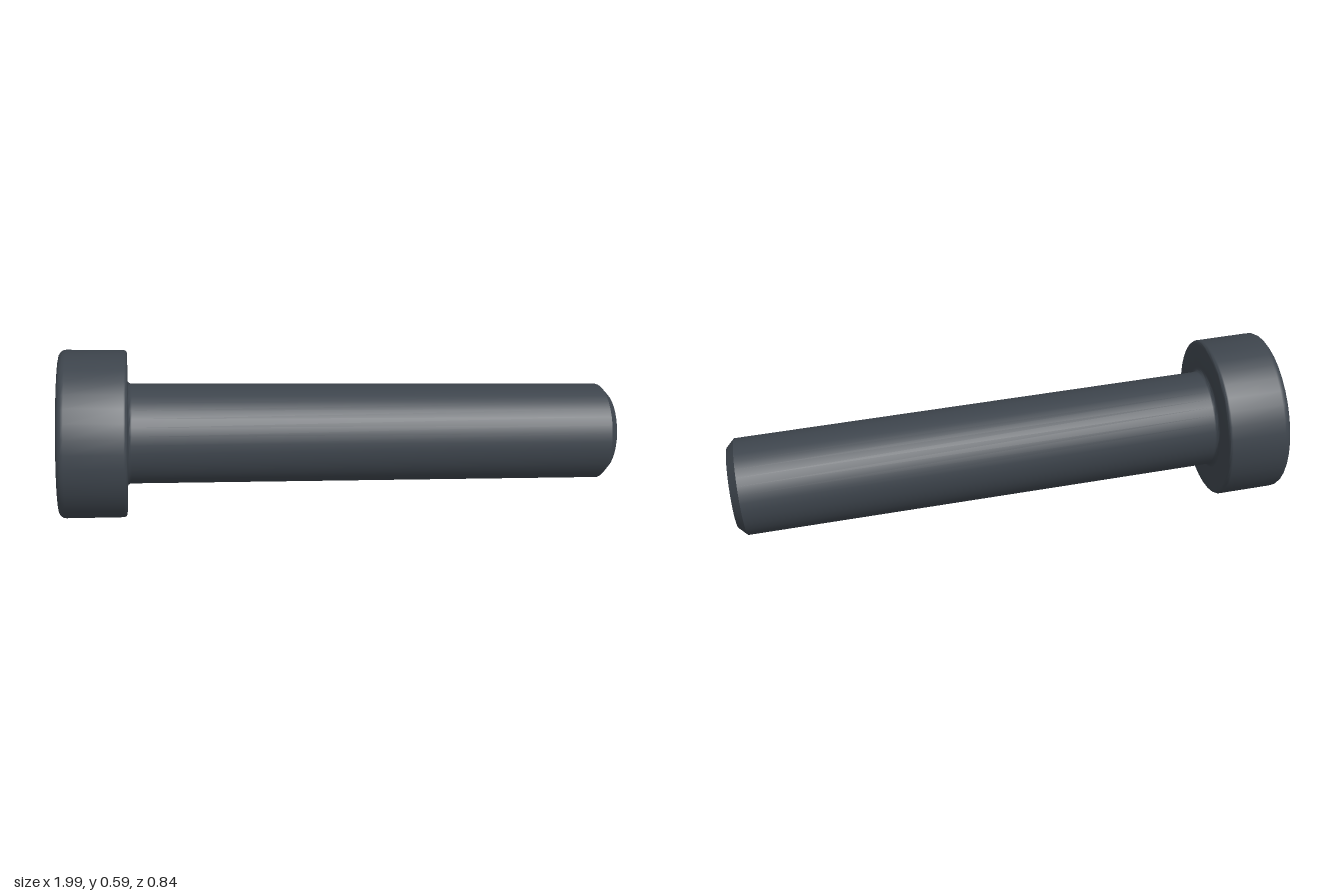
import * as THREE from 'three';
import { toCreasedNormals } from 'three/addons/utils/BufferGeometryUtils.js';

const SEGMENTS = 36; // divisible by six so the hex socket meets the head face
const HEX_TURN = THREE.MathUtils.degToRad(19);
const LENGTH = 1.724, SHAFT_R = 0.172, HEAD_R = 0.287, HEAD_H = 0.229;
const SOCKET_R = 0.129, SOCKET_DEPTH = 0.13;

// Points of a quarter fillet from angle a to angle b around (cx, cy)
function arc(cx, cy, r, a, b, steps = 4) {
  return Array.from({ length: steps + 1 }, (_, i) => {
    const t = a + ((b - a) * i) / steps;
    return new THREE.Vector2(cx + r * Math.cos(t), cy + r * Math.sin(t));
  });
}

function turned(points) {
  const lathe = new THREE.LatheGeometry(points, SEGMENTS, Math.PI - HEX_TURN);
  return toCreasedNormals(lathe, THREE.MathUtils.degToRad(32));
}

// Countersunk hex recess lofted from the round mouth to the flat floor
function socketGeometry() {
  const flat = SOCKET_R * Math.cos(Math.PI / 6);
  const sector = Math.PI / 3;
  const hexR = (t) => flat / Math.cos((t % sector) - sector / 2);
  const rings = [
    () => [SOCKET_R, HEAD_H],
    (t) => [hexR(t), HEAD_H - (SOCKET_R - hexR(t)) * 0.6],
    (t) => [hexR(t), HEAD_H - SOCKET_DEPTH],
    () => [0, HEAD_H - SOCKET_DEPTH],
  ];
  const positions = [], index = [];
  rings.forEach((ring, k) => {
    for (let i = 0; i < SEGMENTS; i++) {
      const t = (i / SEGMENTS) * Math.PI * 2;
      const [r, y] = ring(t + 1e-9);
      const a = t + HEX_TURN;
      positions.push(r * Math.sin(a), y, -r * Math.cos(a));
      if (k === 0) continue;
      const j = (i + 1) % SEGMENTS;
      const a0 = (k - 1) * SEGMENTS + i, a1 = (k - 1) * SEGMENTS + j;
      const b0 = k * SEGMENTS + i, b1 = k * SEGMENTS + j;
      index.push(a0, b0, a1, a1, b0, b1);
    }
  });
  const geometry = new THREE.BufferGeometry();
  geometry.setAttribute('position', new THREE.Float32BufferAttribute(positions, 3));
  geometry.setIndex(index);
  return toCreasedNormals(geometry, THREE.MathUtils.degToRad(20));
}

export function createModel() {
  const model = new THREE.Group();
  model.name = 'socketHeadBolt';
  const steel = new THREE.MeshStandardMaterial({ color: 0x3d444c });
  steel.name = 'darkSteel';

  const add = (name, geometry) => {
    const mesh = new THREE.Mesh(geometry, steel);
    mesh.name = name;
    bolt.add(mesh);
  };
  const bolt = new THREE.Group();
  bolt.name = 'bolt';
  model.add(bolt);

  // Shaft with a chamfered tip and a small fillet under the head
  const neck = 0.014;
  add('shaft', turned([
    new THREE.Vector2(0, -LENGTH),
    new THREE.Vector2(SHAFT_R - 0.029, -LENGTH),
    new THREE.Vector2(SHAFT_R, -LENGTH + 0.029),
    ...arc(SHAFT_R + neck, -neck, neck, Math.PI, Math.PI / 2),
  ]));

  // Cylindrical head with softened rims, open where the socket begins
  const low = 0.013, high = 0.025;
  add('head', turned([
    new THREE.Vector2(SHAFT_R + neck, 0),
    ...arc(HEAD_R - low, low, low, -Math.PI / 2, 0),
    ...arc(HEAD_R - high, HEAD_H - high, high, 0, Math.PI / 2),
    new THREE.Vector2(SOCKET_R, HEAD_H),
  ]));

  add('hexSocket', socketGeometry());

  // Lay the bolt along its tilted axis, with the head towards -x
  const headward = new THREE.Vector3(-1, 0.069, -0.213).normalize();
  const side = new THREE.Vector3(-0.213, 0, 1).normalize();
  const down = new THREE.Vector3().crossVectors(side, headward);
  bolt.quaternion.setFromRotationMatrix(new THREE.Matrix4().makeBasis(side, headward, down));
  bolt.position.set(-0.715, 0.2885, -0.1);
  return model;
}
